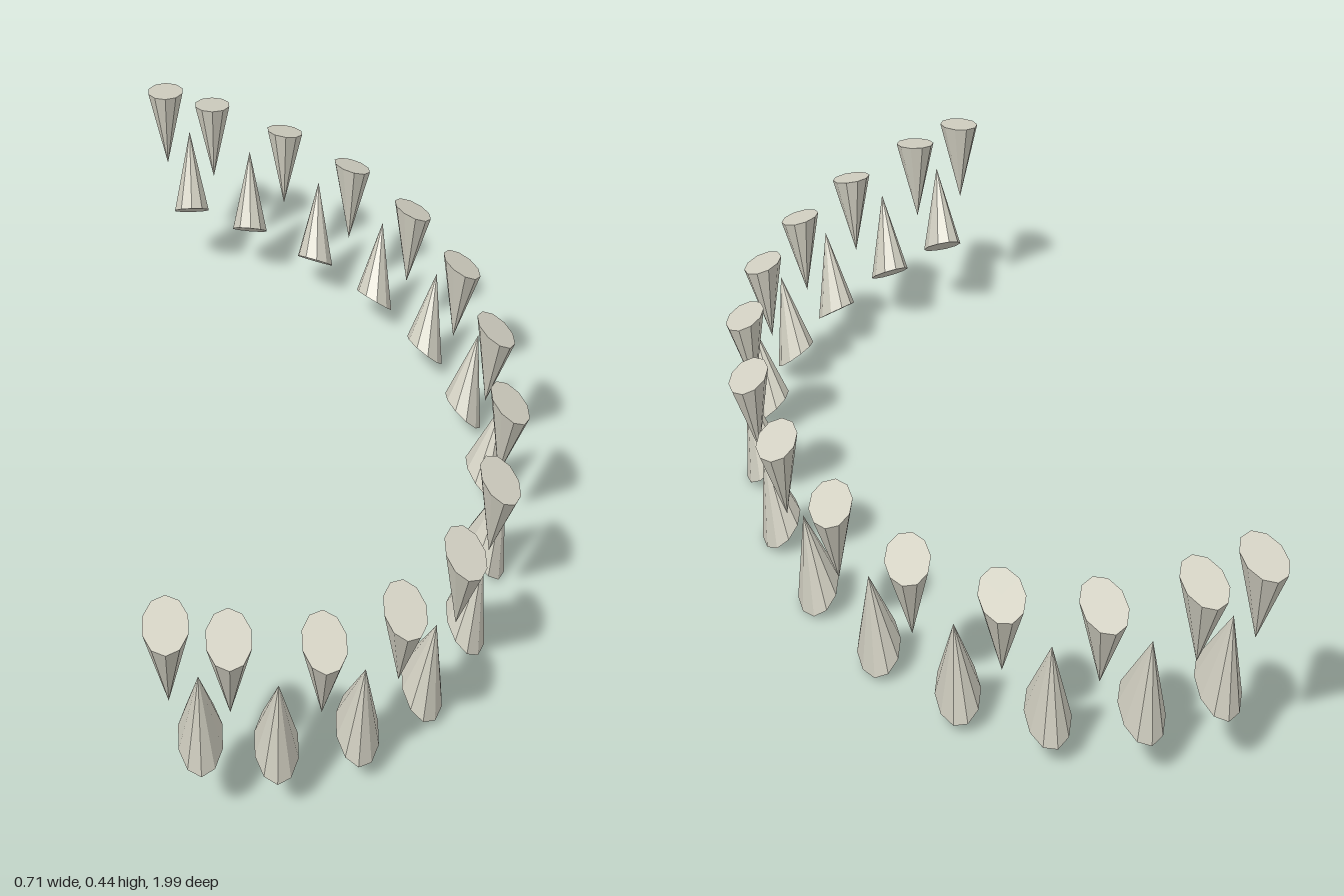
import * as THREE from 'three';

const SCALE = new THREE.Vector3(0.385, 0.93, 0.64); // the whole arch is squashed after the teeth are tilted
const UP = new THREE.Vector3(0, 1, 0);

// base centre x, y, z and outward lean in x and z, from the arch end to its middle
const UPPER = [
  [-0.32, 0.426, 0.934, 0, 0.13],
  [-0.22, 0.392, 0.932, 0.01, 0.16],
  [-0.065, 0.346, 0.889, 0.06, 0.19],
  [0.075, 0.318, 0.775, 0.12, 0.18],
  [0.192, 0.304, 0.603, 0.18, 0.14],
  [0.275, 0.299, 0.381, 0.22, 0.09],
  [0.319, 0.298, 0.13, 0.245, 0.03],
];
const LOWER = [
  [-0.271, 0.156, 0.889, 0, 0.4],
  [-0.145, 0.115, 0.868, 0.05, 0.4],
  [-0.005, 0.078, 0.79, 0.14, 0.38],
  [0.116, 0.055, 0.655, 0.26, 0.32],
  [0.21, 0.044, 0.465, 0.33, 0.24],
  [0.27, 0.039, 0.24, 0.38, 0.14],
  [0.288, 0.039, 0, 0.41, 0],
];

export function createModel() {
  const model = new THREE.Group();
  model.name = 'toothArches';
  const ivory = new THREE.MeshStandardMaterial({ color: 0xd4d2c4, flatShading: true });
  ivory.name = 'ivory';

  // cones with the base at the origin
  const lowerCone = new THREE.ConeGeometry(0.1, 0.197, 10).translate(0, 0.0985, 0);
  const upperCone = new THREE.ConeGeometry(0.1, 0.18, 10).rotateX(Math.PI).translate(0, -0.09, 0);

  const addArch = (name, toothName, geometry, rows) => {
    const arch = new THREE.Group();
    arch.name = name;
    arch.scale.copy(SCALE);
    for (const [x, y, z, leanX, leanZ] of rows) {
      for (const side of z === 0 ? [1] : [1, -1]) {
        const tooth = new THREE.Mesh(geometry, ivory);
        tooth.name = toothName;
        tooth.position.set(x, y, z * side).divide(SCALE);
        const axis = new THREE.Vector3(leanX, Math.sqrt(1 - leanX ** 2 - leanZ ** 2), leanZ * side);
        tooth.quaternion.setFromUnitVectors(UP, axis);
        arch.add(tooth);
      }
    }
    model.add(arch);
  };

  addArch('upperArch', 'upperTooth', upperCone, UPPER);
  addArch('lowerArch', 'lowerTooth', lowerCone, LOWER);
  return model;
}
